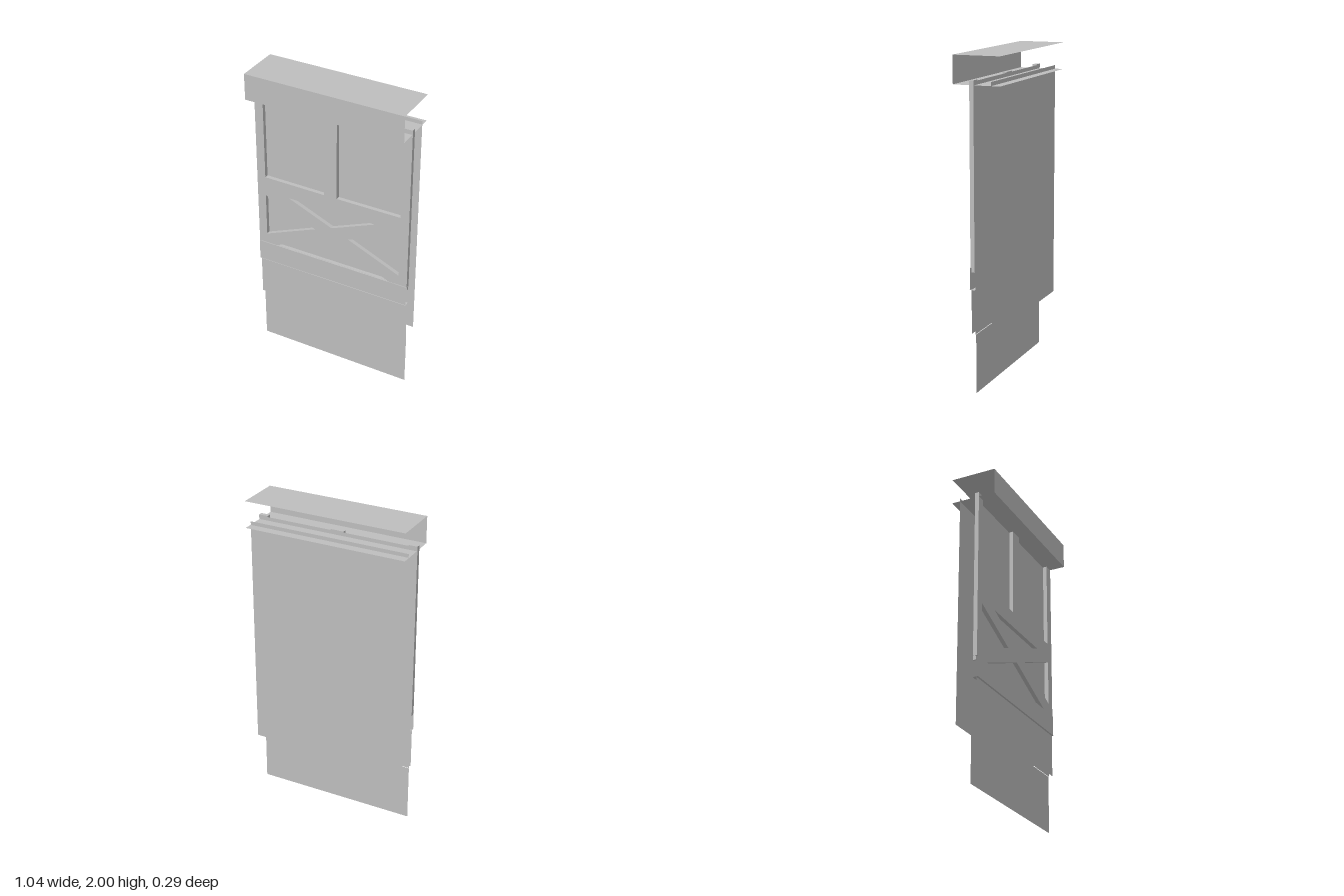
import * as THREE from 'three';

export function createModel() {
  const model = new THREE.Group();
  const grey = new THREE.MeshStandardMaterial({ color: 0xbebebe, side: THREE.DoubleSide });
  grey.name = 'plain grey';

  const add = (name, geometry) => {
    const mesh = new THREE.Mesh(geometry, grey);
    mesh.name = name;
    model.add(mesh);
    return mesh;
  };

  // Upright sheet facing front, spanning y0..y1 at depth z
  const upright = (name, halfWidth, y0, y1, z) => {
    add(name, new THREE.PlaneGeometry(halfWidth * 2, y1 - y0)).position.set(0, (y0 + y1) / 2, z);
  };

  // Level sheet facing up, spanning z0..z1 at height y
  const level = (name, halfWidth, y, z0, z1) => {
    const geometry = new THREE.PlaneGeometry(halfWidth * 2, z1 - z0).rotateX(-Math.PI / 2);
    add(name, geometry).position.set(0, y, (z0 + z1) / 2);
  };

  // Canopy: top sheet, front fascia and lower sheet
  level('canopyTop', 0.518, 2, -0.145, 0.145);
  level('canopyBottom', 0.518, 1.832, -0.145, 0.145);
  upright('canopyFascia', 0.518, 1.832, 2, 0.145);

  // Large sheets behind and below the front frame
  upright('backPanel', 0.516, 0.365, 1.855, -0.09);
  upright('frameBacking', 0.516, 0.365, 1.855, 0.014);
  upright('middlePanel', 0.516, 0.365, 0.768, 0.038);
  upright('lowerPanel', 0.517, 0, 0.365, 0.01);

  // Front frame: windows open at the top, bottom triangle open at the foot
  const points = (list) => list.map(([x, y]) => new THREE.Vector2(x, y));
  const frame = new THREE.Shape(points([
    [-0.521, 0.768], [-0.4, 0.768], [0, 0.935], [0.4, 0.768], [0.521, 0.768],
    [0.521, 1.86], [0.462, 1.86], [0.462, 1.257], [0.037, 1.255],
    [0.037, 1.86], [-0.05, 1.86], [-0.05, 1.255], [-0.464, 1.257],
    [-0.464, 1.86], [-0.521, 1.86],
  ]));
  const triangles = [[[-0.3, 1.155], [0.297, 1.155], [0, 1.03]]];
  for (const s of [-1, 1]) {
    triangles.push([[s * 0.465, 1.126], [s * 0.465, 0.835], [s * 0.116, 0.984]]);
  }
  for (const t of triangles) frame.holes.push(new THREE.Path(points(t)));
  add('crossBracedFrame', new THREE.ExtrudeGeometry(frame, { depth: 0.026, bevelEnabled: false }))
    .position.z = 0.016;

  // Skirt board with its sill and underside
  upright('skirtBoard', 0.521, 0.634, 0.768, 0.046);
  level('skirtSill', 0.521, 0.767, 0.016, 0.046);
  level('skirtUnderside', 0.521, 0.634, 0.016, 0.05);

  // Small end tabs under the frame
  for (const s of [-1, 1]) {
    add('endTab', new THREE.BoxGeometry(0.008, 0.027, 0.019)).position.set(s * 0.516, 0.754, 0.026);
  }

  return model;
}
